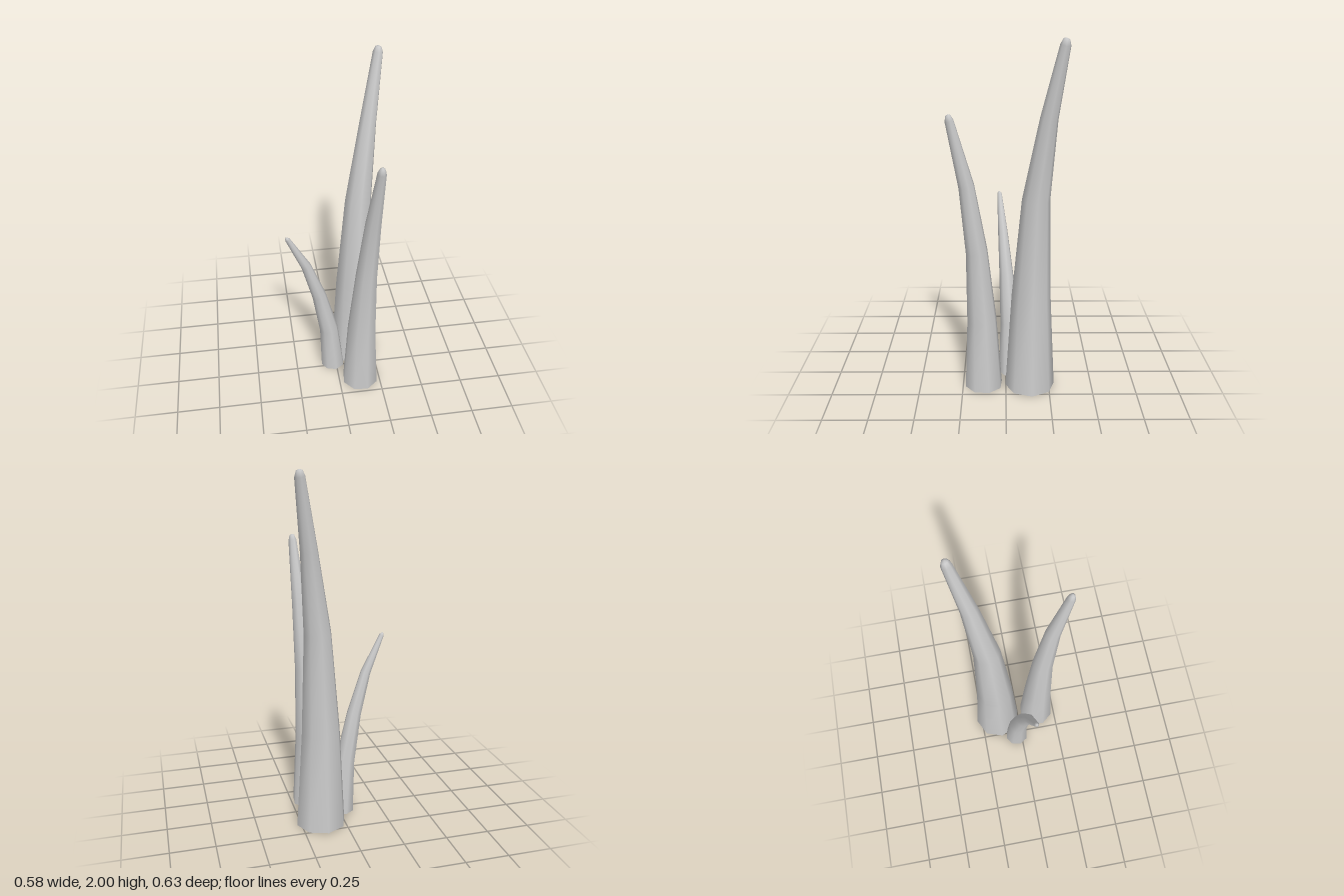
import * as THREE from 'three';

const SIDES = 8;

// Each section is [x, y, z, radius]; turn rotates the octagon about its axis.
const STALKS = [
  {
    name: 'tallStalk', turn: -4,
    sections: [[0.132, 0, -0.14, 0.143], [0.13, 0.57, -0.143, 0.111], [0.15, 1.14, -0.163, 0.077],
      [0.205, 1.59, -0.222, 0.048], [0.263, 1.965, -0.292, 0.028], [0.266, 1.993, -0.296, 0.017]],
  },
  {
    name: 'middleStalk', turn: -17,
    sections: [[0.131, 0, 0.129, 0.11], [0.132, 0.42, 0.137, 0.086], [0.147, 0.84, 0.161, 0.062],
      [0.165, 1.22, 0.211, 0.044], [0.182, 1.575, 0.293, 0.024], [0.183, 1.603, 0.299, 0.014]],
  },
  {
    name: 'shortStalk', turn: -12,
    sections: [[-0.02, 0, -0.032, 0.073], [-0.045, 0.31, -0.024, 0.057], [-0.104, 0.595, -0.004, 0.042],
      [-0.178, 0.835, 0.016, 0.029], [-0.278, 1.045, 0.036, 0.014], [-0.284, 1.056, 0.037, 0.008]],
  },
];

// Loft octagonal rings along a bent path, open at the foot and closed at the tip
function stalkGeometry(sections, turn) {
  const centres = sections.map(([x, y, z]) => new THREE.Vector3(x, y, z));
  const up = new THREE.Vector3(0, 1, 0);
  const last = sections.length - 1;
  const positions = [];
  const indices = [];

  sections.forEach(([, , , radius], i) => {
    // The foot stays level; other rings face along the path
    const tangent = up.clone();
    if (i > 0) {
      const from = centres[Math.min(i, last - 1) - 1];
      const to = centres[Math.min(i + 1, last)];
      tangent.subVectors(to, from).normalize();
    }
    const tilt = new THREE.Quaternion().setFromUnitVectors(up, tangent);
    for (let s = 0; s < SIDES; s++) {
      const a = THREE.MathUtils.degToRad(turn) + (s / SIDES) * Math.PI * 2;
      const p = new THREE.Vector3(Math.cos(a) * radius, 0, Math.sin(a) * radius)
        .applyQuaternion(tilt).add(centres[i]);
      positions.push(p.x, p.y, p.z);
    }
  });

  for (let i = 0; i < last; i++) {
    for (let s = 0; s < SIDES; s++) {
      const a = i * SIDES + s;
      const b = i * SIDES + ((s + 1) % SIDES);
      indices.push(a, a + SIDES, b, b, a + SIDES, b + SIDES);
    }
  }

  // Rounded tip
  const tip = centres[last];
  const apex = positions.length / 3;
  positions.push(tip.x, tip.y + 0.007, tip.z);
  for (let s = 0; s < SIDES; s++) {
    indices.push(last * SIDES + s, apex, last * SIDES + ((s + 1) % SIDES));
  }

  const geometry = new THREE.BufferGeometry();
  geometry.setAttribute('position', new THREE.Float32BufferAttribute(positions, 3));
  geometry.setIndex(indices);
  geometry.computeVertexNormals();
  return geometry;
}

export function createModel() {
  const group = new THREE.Group();
  group.name = 'stalkCluster';
  const material = new THREE.MeshStandardMaterial({ color: 0xcccccc, side: THREE.DoubleSide });
  for (const { name, sections, turn } of STALKS) {
    const mesh = new THREE.Mesh(stalkGeometry(sections, turn), material);
    mesh.name = name;
    group.add(mesh);
  }
  return group;
}
